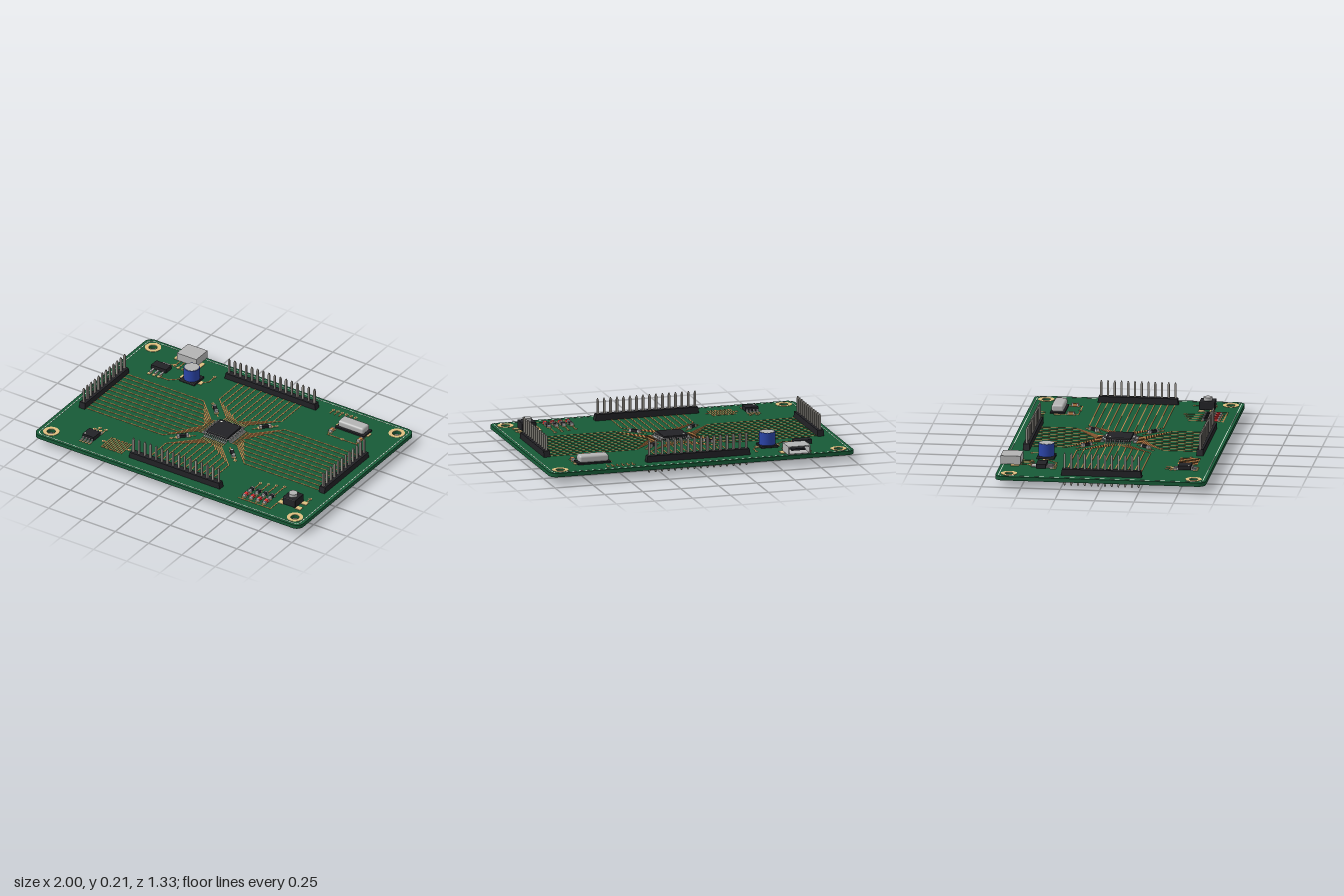
import * as THREE from 'three';
import { mergeGeometries } from 'three/addons/utils/BufferGeometryUtils.js';
import { RoundedBoxGeometry } from 'three/addons/geometries/RoundedBoxGeometry.js';

const BOTTOM = 0.046, TOP = 0.071, PITCH = 0.0427;
const colors = {
  green: 0x175a37, copper: 0xc4824a, gold: 0xe0c080, black: 0x222226,
  metal: 0xb4b4b4, pin: 0x9c9890, blue: 0x2a44a8, white: 0xe8e8e0, red: 0xd83030,
};
const mats = {};
for (const k in colors) mats[k] = new THREE.MeshStandardMaterial({ color: colors[k] });

// Box standing on height y
const box = (w, h, d, x, y, z) => new THREE.BoxGeometry(w, h, d).translate(x, y + h / 2, z);
const pad = (w, d, x, z) => box(w, 0.004, d, x, TOP, z);
const disc = (r, h, x, y, z, n = 28) => new THREE.CylinderGeometry(r, r, h, n).translate(x, y + h / 2, z);

// Flat washer with square edges
function washer(ri, ro, h, x, y, z, n = 14) {
  const s = new THREE.Shape().absarc(0, 0, ro, 0, Math.PI * 2);
  s.holes.push(new THREE.Path().absarc(0, 0, ri, 0, Math.PI * 2, true));
  return new THREE.ExtrudeGeometry(s, { depth: h, bevelEnabled: false, curveSegments: n })
    .rotateX(-Math.PI / 2).translate(x, y, z);
}

// Polyline of thin strips through [x, z] points
function strips(pts, y = TOP, w = 0.006, h = 0.002) {
  return pts.slice(1).map(([x1, z1], i) => {
    const [x0, z0] = pts[i], dx = x1 - x0, dz = z1 - z0;
    return new THREE.BoxGeometry(Math.hypot(dx, dz) + w, h, w)
      .rotateY(-Math.atan2(dz, dx)).translate((x0 + x1) / 2, y + h / 2, (z0 + z1) / 2);
  });
}

function roundedRect(hw, hd, r) {
  const s = new THREE.Shape();
  s.absarc(hw - r, hd - r, r, 0, Math.PI / 2);
  s.absarc(r - hw, hd - r, r, Math.PI / 2, Math.PI);
  s.absarc(r - hw, r - hd, r, Math.PI, Math.PI * 1.5);
  s.absarc(hw - r, r - hd, r, Math.PI * 1.5, Math.PI * 2);
  s.closePath();
  return s;
}

export function createModel() {
  const root = new THREE.Group();
  const add = (name, mat, geos, parent = root) => {
    const list = [].concat(geos).map(g => (g.index ? g.toNonIndexed() : g));
    const mesh = new THREE.Mesh(mergeGeometries(list), mats[mat]);
    mesh.name = name;
    parent.add(mesh);
    return mesh;
  };
  const group = (name, x = 0, z = 0, turn = 0) => {
    const g = new THREE.Group();
    g.name = name;
    g.position.set(x, 0, z);
    g.rotation.y = turn;
    root.add(g);
    return g;
  };
  const traces = [], vias = [];
  const trace = (...pts) => traces.push(...strips(pts));
  const via = (x, z) => {
    for (const y of [BOTTOM - 0.002, TOP]) vias.push(washer(0.005, 0.011, 0.003, x, y, z, 6));
  };

  // Board with four mounting holes and plated rings
  const outline = roundedRect(1, 0.667, 0.05);
  const rings = [];
  for (const x of [-0.915, 0.915]) for (const z of [-0.585, 0.585]) {
    outline.holes.push(new THREE.Path().absarc(x, -z, 0.028, 0, Math.PI * 2, true));
    for (const y of [BOTTOM - 0.002, TOP - 0.001]) rings.push(washer(0.027, 0.052, 0.003, x, y, z));
  }
  const slab = new THREE.ExtrudeGeometry(outline, { depth: TOP - BOTTOM, bevelEnabled: false, curveSegments: 14 });
  add('board', 'green', slab.rotateX(-Math.PI / 2).translate(0, BOTTOM, 0));
  add('mountingRings', 'gold', rings);

  // Printed border line
  const border = roundedRect(0.977, 0.647, 0.03).getPoints(6).map(p => [p.x, p.y]);
  add('borderLine', 'white', strips(border, TOP, 0.004, 0.001));

  // Pin headers, built along x and turned to each edge
  const pinProfile = [[0, 0], [0.004, 0], [0.0092, 0.012], [0.0092, 0.198], [0.004, 0.212], [0, 0.212]]
    .map(p => new THREE.Vector2(...p));
  const header = (name, n, x, z, turn) => {
    const g = group(name, x, z, turn), half = n * PITCH / 2, pins = [], pads = [];
    const s = new THREE.Shape([[-half, 0], [half, 0], [half - 0.007, 0.04], [0.007 - half, 0.04]]
      .map(p => new THREE.Vector2(...p)));
    add('headerBody', 'black', new THREE.ExtrudeGeometry(s, { depth: 0.042, bevelEnabled: false })
      .translate(0, TOP, -0.021), g);
    for (let i = 0; i < n; i++) {
      const px = (i - (n - 1) / 2) * PITCH;
      const pin = new THREE.LatheGeometry(pinProfile, 4, Math.PI / 4).toNonIndexed();
      pin.computeVertexNormals();
      pins.push(pin.translate(px, 0, 0));
      pads.push(washer(0.006, 0.014, 0.003, px, BOTTOM - 0.002, 0, 6));
    }
    add('headerPins', 'pin', pins, g);
    add('headerPads', 'gold', pads, g);
  };
  for (const s of [-1, 1]) {
    header(s < 0 ? 'backHeader' : 'frontHeader', 16, 0, s * 0.55, 0);
    header(s < 0 ? 'rightHeader' : 'leftHeader', 12, s * 0.9, 0, Math.PI / 2);
  }

  // Main chip: four sides of legs and the traces fanning out to the headers
  const chip = group('mainChip'), legs = [];
  add('chipBody', 'black', new RoundedBoxGeometry(0.16, 0.026, 0.16, 1, 0.004).translate(0, 0.088, 0), chip);
  add('chipDot', 'white', disc(0.007, 0.001, -0.057, 0.101, -0.057, 12), chip);
  for (let side = 0; side < 4; side++) {
    const a = side * Math.PI / 2, far = side % 2 ? 0.55 : 0.9;
    const turn = (u, v) => [u * Math.cos(a) - v * Math.sin(a), u * Math.sin(a) + v * Math.cos(a)];
    for (let i = 0; i < 12; i++) {
      const k = i - 5.5, inner = k * 0.0142, outer = k * PITCH;
      legs.push(box(0.02, 0.005, 0.007, 0.086, 0.084, inner).rotateY(-a),
        box(0.005, 0.016, 0.007, 0.095, 0.072, inner).rotateY(-a),
        box(0.02, 0.004, 0.007, 0.104, 0.072, inner).rotateY(-a));
      trace(turn(0.1, inner), turn(0.15, inner), turn(0.15 + Math.abs(outer - inner), outer), turn(far, outer));
    }
  }
  add('chipLegs', 'metal', legs, chip);

  // Small two-ended parts, built along x
  const chipPart = (name, x, z, turn, mat = 'black', len = 0.045) => {
    const g = group(name, x, z, turn);
    add('partBody', mat, box(len * 0.6, 0.016, 0.022, 0, TOP + 0.003, 0), g);
    add('partEnds', 'metal', [-1, 1].map(s => box(len * 0.2, 0.017, 0.023, s * len * 0.4, TOP + 0.003, 0)), g);
    add('partPads', 'gold', [-1, 1].map(s => pad(len * 0.3, 0.028, s * len * 0.48, 0)), g);
  };
  for (const sx of [-1, 1]) for (const sz of [-1, 1]) {
    chipPart('decouplingPart', sx * 0.187, sz * 0.187, -sx * sz * Math.PI / 4, 'black', 0.075);
    trace([sx * 0.13, sz * 0.13], [sx * 0.24, sz * 0.24]);
    via(sx * 0.24, sz * 0.24);
  }

  // Socket with an open mouth at the back edge
  const socket = group('socket', -0.633, -0.603);
  add('shell', 'metal', [
    box(0.146, 0.006, 0.128, 0, 0.122, 0), box(0.146, 0.006, 0.128, 0, 0.075, 0),
    box(0.146, 0.053, 0.006, 0, 0.075, 0.061),
    ...[-1, 1].map(s => box(0.008, 0.053, 0.128, s * 0.069, 0.075, 0))], socket);
  add('tongue', 'black', [box(0.09, 0.012, 0.1, 0, 0.096, 0.005), box(0.13, 0.041, 0.01, 0, 0.081, 0.05)], socket);
  add('socketPads', 'gold', [-1, 1].map(s => pad(0.03, 0.055, s * 0.085, 0.03)), socket);
  [-0.05, -0.018, 0.018, 0.05].forEach((dx, i) => {
    const z = i % 3 ? -0.47 : -0.48;
    trace([-0.633 + dx, -0.55], [-0.633 + dx, z]);
    via(-0.633 + dx, z);
  });

  // Voltage regulator
  const reg = group('regulator', -0.733, -0.4);
  add('regulatorBody', 'black', box(0.112, 0.026, 0.062, 0, 0.076, 0), reg);
  add('regulatorTab', 'metal', [box(0.058, 0.008, 0.04, 0, 0.075, -0.045),
    ...[-0.036, 0, 0.036].map(x => box(0.012, 0.008, 0.05, x, 0.075, 0.05))], reg);
  add('regulatorPads', 'gold', [-0.036, 0, 0.036].map(x => pad(0.02, 0.035, x, 0.075)), reg);
  trace([-0.697, -0.32], [-0.625, -0.32], [-0.55, -0.39]);
  trace([-0.733, -0.45], [-0.683, -0.5]);

  // Capacitor can
  const cap = group('capacitor', -0.503, -0.4);
  add('capacitorBase', 'black', new RoundedBoxGeometry(0.114, 0.014, 0.114, 1, 0.003).translate(0, 0.081, 0), cap);
  add('capacitorCan', 'blue', disc(0.051, 0.081, 0, 0.087, 0), cap);
  add('capacitorTop', 'metal', disc(0.047, 0.002, 0, 0.168, 0), cap);
  add('capacitorPads', 'gold', [-1, 1].map(s => pad(0.04, 0.036, s * 0.06, 0)), cap);
  trace([-0.44, -0.4], [-0.4, -0.44], [-0.4, -0.505]);
  via(-0.4, -0.505);

  // Crystal with its two load parts
  const crystal = group('crystal', 0.667, -0.47);
  add('crystalBase', 'black', box(0.216, 0.01, 0.094, 0, 0.074, 0), crystal);
  add('crystalCan', 'metal', new RoundedBoxGeometry(0.192, 0.046, 0.078, 3, 0.014).translate(0, 0.106, 0), crystal);
  add('crystalPads', 'gold', [-1, 1].map(s => pad(0.03, 0.04, s * 0.107, 0)), crystal);
  trace([0.56, -0.46], [0.56, -0.337], [0.772, -0.337], [0.772, -0.46]);
  for (const x of [0.56, 0.772]) chipPart('loadPart', x, -0.383, Math.PI / 2, 'copper');
  via(0.667, -0.337);

  // Row of programming pads
  for (let i = 0; i < 6; i++) {
    const x = 0.435 + i * 0.0333;
    via(x, -0.593);
    trace([x, -0.59], [x, -0.553]);
  }

  // Push button
  const button = group('button', 0.815, 0.452);
  add('buttonBody', 'black', new RoundedBoxGeometry(0.095, 0.053, 0.1, 1, 0.004).translate(0, 0.1015, 0), button);
  add('plunger', 'metal', disc(0.028, 0.022, 0, 0.127, 0), button);
  add('buttonPads', 'gold', [-1, 1].flatMap(sx => [-1, 1].map(sz => pad(0.04, 0.034, sx * 0.064, sz * 0.034))), button);
  trace([0.882, 0.42], [0.882, 0.358]);
  via(0.882, 0.358);
  trace([0.75, 0.42], [0.732, 0.42], [0.732, 0.588], [0.495, 0.588]);

  // Memory chip
  const mem = group('memoryChip', -0.668, 0.5), memX = [-0.033, -0.011, 0.011, 0.033];
  add('memoryBody', 'black', box(0.085, 0.026, 0.08, 0, 0.076, 0), mem);
  add('memoryDot', 'white', disc(0.006, 0.001, -0.03, 0.102, 0.025, 12), mem);
  add('memoryLegs', 'metal', memX.flatMap(x => [-1, 1].flatMap(s =>
    [box(0.01, 0.014, 0.012, x, 0.074, s * 0.045), box(0.01, 0.005, 0.026, x, 0.074, s * 0.06)])), mem);
  add('memoryPads', 'gold', memX.flatMap(x => [-1, 1].map(s => pad(0.014, 0.03, x, s * 0.068))), mem);

  // Indicator lights, and bottom lanes running from them to the memory chip
  const lanes = [];
  for (let i = 0; i < 4; i++) {
    const x = 0.518 + i * 0.05, z = 0.374 - i * 0.016;
    via(x, z);
    trace([x, z], [x, 0.588]);
    chipPart('resistor', x, 0.476, Math.PI / 2);
    chipPart('indicatorLight', x, 0.54, Math.PI / 2, 'red');
    const mx = -0.668 + memX[i], mz = i % 2 ? 0.385 : 0.412, lane = 0.42 - i * 0.02;
    via(mx, mz);
    trace([mx, mz], [mx, 0.44]);
    lanes.push(...strips([[x, z], [x, lane], [mx, lane], [mx, mz]], BOTTOM - 0.002));
  }
  add('bottomTraces', 'copper', lanes);

  // Meandering trace
  const wave = [[-0.575, 0.5], [-0.555, 0.5]];
  for (let i = 0; i < 11; i++) {
    const x = -0.555 + i * 0.0148, z = i % 2 ? [0.56, 0.44] : [0.44, 0.56];
    wave.push([x, z[0]], [x, z[1]]);
  }
  trace(...wave, [-0.407, 0.5], [-0.387, 0.5]);
  via(-0.577, 0.5);
  via(-0.385, 0.5);

  add('topTraces', 'copper', traces);
  add('vias', 'gold', vias);
  return root;
}
